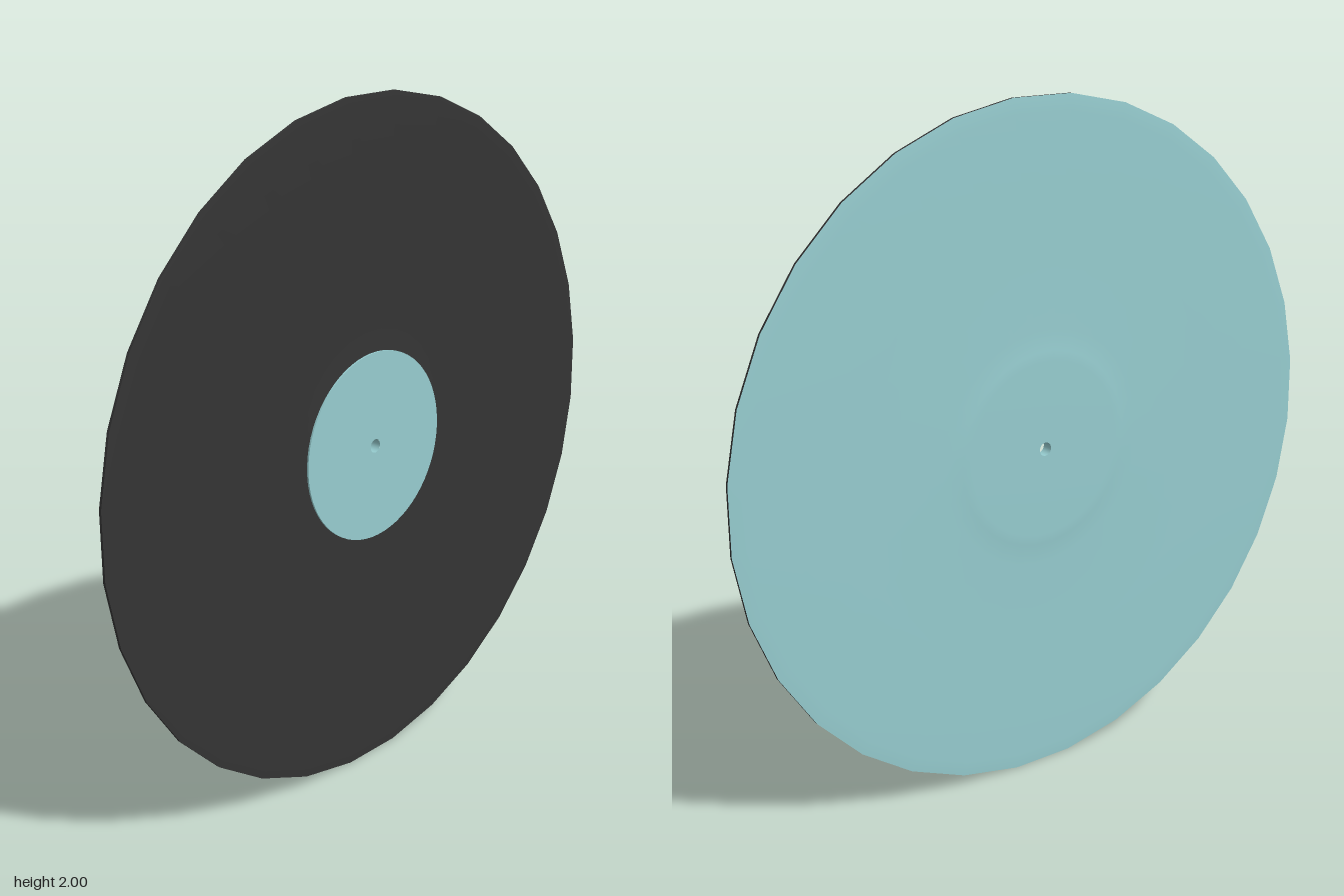
import * as THREE from 'three';

const SIDES = 32;
const RIM = 1 / Math.cos(Math.PI / SIDES); // flats of the rim reach 1 unit
const HOLE = 0.02;

export function createModel() {
  const black = new THREE.MeshStandardMaterial({ color: 0x343434 });
  black.name = 'black vinyl';
  const teal = new THREE.MeshStandardMaterial({ color: 0x96cccf });
  teal.name = 'pale teal';

  const disc = new THREE.Group();
  disc.name = 'record';

  // Revolves [radius, depth] points about the spindle axis
  const turn = (name, points, sides, material) => {
    const profile = points.map(([r, z]) => new THREE.Vector2(r, z));
    const geometry = new THREE.LatheGeometry(profile, sides, Math.PI / sides);
    geometry.rotateX(Math.PI / 2);
    const mesh = new THREE.Mesh(geometry, material);
    mesh.name = name;
    disc.add(mesh);
  };

  // Playing side, from the rim in to the label
  turn('playingSurface', [[RIM, 0.004], [0.97, 0.007], [0.68, 0.008], [0.35, 0.009], [0.27, 0.012]], SIDES, black);
  turn('rim', [[RIM, -0.004], [RIM, 0.004]], SIDES, black);

  // Back, softly raised around the hub
  turn('back', [[HOLE, -0.017], [0.26, -0.017], [0.29, -0.015], [0.35, -0.01],
    [0.64, -0.009], [0.96, -0.007], [RIM, -0.004]], SIDES, teal);

  // Raised label on the playing side
  turn('label', [[0.28, 0.017], [HOLE, 0.017]], 64, teal);
  turn('labelEdge', [[0.28, 0.008], [0.28, 0.017]], 64, teal);

  // Wall of the spindle hole
  turn('spindleHole', [[HOLE, 0.017], [HOLE, -0.017]], SIDES, teal);

  disc.position.y = 1;
  const model = new THREE.Group();
  model.name = 'discModel';
  model.add(disc);
  return model;
}
